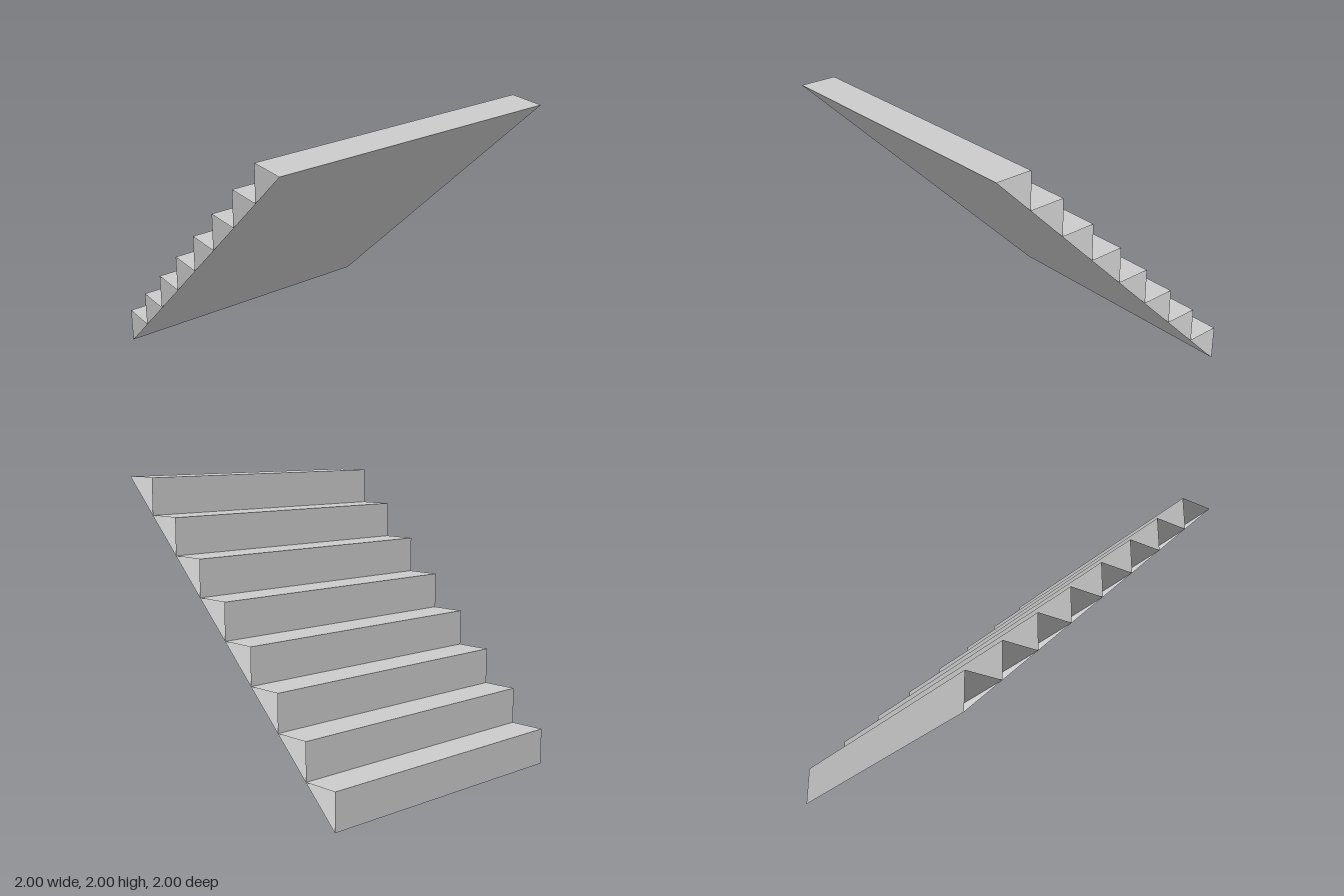
import * as THREE from 'three';

const STEPS = 8;
const SIZE = 2; // run, rise and width
const STEP = SIZE / STEPS;

const material = new THREE.MeshStandardMaterial({
  color: 0xcccccc, flatShading: true, side: THREE.DoubleSide,
});

// Thin sheet spanning the full width between two points of the side profile;
// it faces the left of the direction of travel.
function sheet(name, x0, y0, x1, y1) {
  const geometry = new THREE.PlaneGeometry(Math.hypot(x1 - x0, y1 - y0), SIZE);
  geometry.rotateX(-Math.PI / 2);
  const mesh = new THREE.Mesh(geometry, material);
  mesh.name = name;
  mesh.rotation.z = Math.atan2(y1 - y0, x1 - x0);
  mesh.position.set((x0 + x1) / 2, (y0 + y1) / 2, 0);
  return mesh;
}

export function createModel() {
  const group = new THREE.Group();
  group.name = 'staircase';

  // Risers and treads climbing towards +x, with open ends
  for (let i = 0; i < STEPS; i++) {
    const x = -SIZE / 2 + i * STEP;
    const y = i * STEP;
    const step = new THREE.Group();
    step.name = `step${i + 1}`;
    step.add(
      sheet('riser', x, y, x, y + STEP),
      sheet('tread', x, y + STEP, x + STEP, y + STEP),
    );
    group.add(step);
  }

  // Sloping underside touching the inner corners of the steps
  group.add(sheet('underside', SIZE / 2, SIZE, -SIZE / 2, 0));
  return group;
}
